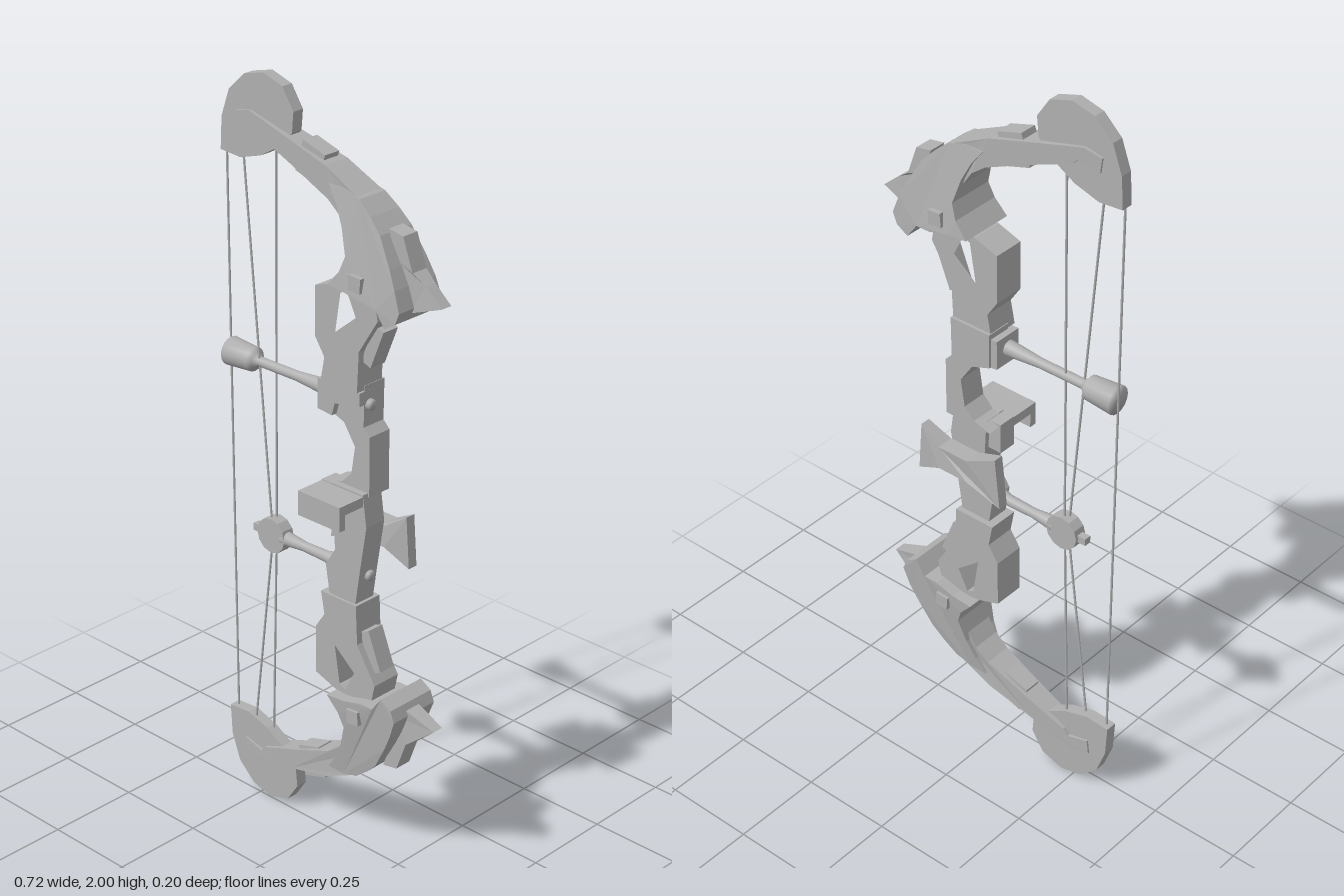
import * as THREE from 'three';

const ZC = -0.018; // mid-plane of the bow
const metal = new THREE.MeshStandardMaterial({ color: 0xb0b0b0 });
metal.name = 'grey metal';

function add(parent, geo, name) {
  const m = new THREE.Mesh(geo, metal);
  m.name = name;
  parent.add(m);
  return m;
}

// Flat outline in x/y, given thickness by half(x, y) either side of zc.
function slab(parent, name, pts, half, { zc = ZC, hole = null, flip = false } = {}) {
  const map = p => new THREE.Vector2(p[0], flip ? 2 - p[1] : p[1]);
  const shape = new THREE.Shape(pts.map(map));
  if (hole) shape.holes.push(new THREE.Path(hole.map(map)));
  const geo = new THREE.ExtrudeGeometry(shape, { depth: 1, bevelEnabled: false });
  const a = geo.attributes.position;
  for (let i = 0; i < a.count; i++) {
    const x = a.getX(i), y = flip ? 2 - a.getY(i) : a.getY(i);
    const h = typeof half === 'function' ? half(x, y) : half;
    a.setZ(i, zc + (a.getZ(i) > 0.5 ? h : -h));
  }
  geo.computeVertexNormals();
  return add(parent, geo, name);
}

function box(parent, name, size, pos, rotZ = 0) {
  const m = add(parent, new THREE.BoxGeometry(...size), name);
  m.position.set(...pos);
  m.rotation.z = rotZ;
  return m;
}

// Turned bar along x: profile is [radius, x] pairs, from low x to high x.
function bar(parent, name, profile, y, sides = 16) {
  const geo = new THREE.LatheGeometry(profile.map(p => new THREE.Vector2(p[0], p[1])), sides);
  geo.rotateZ(-Math.PI / 2);
  add(parent, geo, name).position.set(0, y, ZC);
}

function string(parent, x1, y1, x2, y2, z = ZC) {
  const d = new THREE.Vector3(x2 - x1, y2 - y1, 0);
  const m = add(parent, new THREE.CylinderGeometry(0.003, 0.003, d.length(), 6), 'string');
  m.position.set((x1 + x2) / 2, (y1 + y2) / 2, z);
  m.quaternion.setFromUnitVectors(new THREE.Vector3(0, 1, 0), d.normalize());
}

// One limb with its cam, shell, spike and riser pocket; flip mirrors it about y = 1.
function limb(flip) {
  const g = new THREE.Group();
  g.name = flip ? 'lowerLimb' : 'upperLimb';
  const o = { flip };
  const Y = y => (flip ? 2 - y : y);
  const s = flip ? -1 : 1;

  slab(g, 'cam', [[-0.362, 1.777], [-0.357, 1.862], [-0.33, 1.936], [-0.278, 1.984], [-0.214, 2],
    [-0.15, 1.98], [-0.114, 1.926], [-0.119, 1.873], [-0.161, 1.83], [-0.225, 1.793], [-0.294, 1.772]], 0.016, o);

  // tapered arm that clasps the cam and runs under the shell
  slab(g, 'limbArm', [[-0.305, 1.89], [-0.255, 1.9], [-0.12, 1.865], [0.01, 1.83], [0.125, 1.775],
    [0.19, 1.72], [0.235, 1.64], [0.24, 1.54], [0.13, 1.55], [0.1, 1.66], [0.06, 1.72], [0.02, 1.75],
    [-0.1, 1.8], [-0.225, 1.848], [-0.24, 1.865], [-0.3, 1.85]],
  x => 0.021 + 0.021 * THREE.MathUtils.clamp((x + 0.3) / 0.38, 0, 1), o);

  slab(g, 'limbShell', [[0.025, 1.79], [0.08, 1.79], [0.125, 1.777], [0.165, 1.745], [0.2, 1.71],
    [0.24, 1.64], [0.262, 1.595], [0.28, 1.545], [0.268, 1.515], [0.235, 1.495], [0.205, 1.535],
    [0.165, 1.535], [0.11, 1.55], [0.05, 1.555], [0.085, 1.595], [0.1, 1.635], [0.08, 1.7], [0.055, 1.75]],
  (x, y) => 0.042 + 0.032 * THREE.MathUtils.clamp((1.79 - y) / 0.22, 0, 1), o);

  slab(g, 'spike', [[0.2, 1.72], [0.245, 1.712], [0.275, 1.63], [0.31, 1.605], [0.36, 1.562],
    [0.27, 1.53], [0.235, 1.56], [0.225, 1.65]],
  x => (x > 0.3 ? 0.016 : 0.024), o);

  box(g, 'shellBolt', [0.038, 0.038, 0.16], [0.143, Y(1.582), ZC], -0.08 * s);
  box(g, 'limbClamp', [0.075, 0.085, 0.048], [-0.052, Y(1.818), ZC], -0.3 * s);

  // open pocket joining limb and riser
  slab(g, 'limbPocket', [[-0.018, 1.527], [0.05, 1.55], [0.17, 1.56], [0.185, 1.49], [0.125, 1.395],
    [0.12, 1.288], [0.0, 1.288], [0.012, 1.35], [-0.018, 1.395]], 0.043,
  { flip, hole: [[0.048, 1.425], [0.065, 1.53], [0.085, 1.54], [0.115, 1.48]] });
  box(g, 'pocketPad', [0.032, 0.11, 0.05], [0.152, Y(1.412), ZC], -0.38 * s);
  return g;
}

export function createModel() {
  const bow = new THREE.Group();
  bow.name = 'compoundBow';
  bow.add(limb(false), limb(true));

  // riser, with the arrow window cut away above the shelf
  const riser = new THREE.Group();
  riser.name = 'riser';
  bow.add(riser);
  slab(riser, 'windowRiser', [[0.0, 1.3], [0.122, 1.3], [0.12, 1.19], [0.14, 1.17], [0.14, 1.01],
    [0.0, 1.01], [0.05, 1.025], [0.08, 1.055], [0.092, 1.13], [0.055, 1.185], [0.0, 1.205]], 0.035, { zc: -0.034 });
  slab(riser, 'upperCollar', [[-0.018, 1.205], [-0.018, 1.285], [0.122, 1.285], [0.122, 1.25], [0.04, 1.235], [0.03, 1.2]],
    0.04, { zc: -0.022 });
  slab(riser, 'grip', [[0.03, 1.02], [0.135, 1.02], [0.147, 0.935], [0.125, 0.8], [0.11, 0.7],
    [0.025, 0.7], [0.01, 0.79], [0.042, 0.84], [0.035, 0.935]], 0.032, { zc: -0.014 });

  // arrow shelf with a hanging lip
  const shelf = new THREE.Group();
  shelf.name = 'arrowShelf';
  bow.add(shelf);
  box(shelf, 'shelfPlate', [0.14, 0.026, 0.115], [0.065, 1.002, 0.0425]);
  box(shelf, 'shelfLip', [0.14, 0.05, 0.02], [0.065, 0.974, 0.09]);
  box(shelf, 'shelfBlock', [0.14, 0.085, 0.05], [0.065, 0.975, -0.008]);

  // flared sight wings behind the grip
  slab(bow, 'sightWings', [[-0.035, 0.957], [0.05, 0.92], [0.14, 0.92], [0.205, 0.955],
    [0.215, 0.817], [0.14, 0.855], [0.05, 0.855], [-0.05, 0.815]],
  x => (x < -0.02 || x > 0.19 ? 0.014 : 0.024), { zc: -0.077 });

  // stabilizer with end weight
  bar(bow, 'stabilizer', [[0, -0.352], [0.038, -0.352], [0.032, -0.27], [0.02, -0.262], [0.013, -0.25],
    [0.013, -0.12], [0.02, -0.03], [0.024, 0.03], [0, 0.03]], 1.247);
  bar(bow, 'stabilizerBolt', [[0, 0.1], [0.018, 0.1], [0.014, 0.132], [0, 0.132]], 1.247);

  // cable guard with slide disc
  bar(bow, 'cableGuard', [[0, -0.17], [0.02, -0.17], [0.013, -0.1], [0.015, -0.02], [0.026, 0.03], [0, 0.03]], 0.785);
  bar(bow, 'cableGuardBolt', [[0, 0.1], [0.018, 0.1], [0.014, 0.132], [0, 0.132]], 0.785);
  const disc = add(bow, new THREE.CylinderGeometry(0.048, 0.048, 0.036, 12).toNonIndexed(), 'cableSlide');
  disc.geometry.computeVertexNormals();
  disc.rotation.x = Math.PI / 2;
  disc.position.set(-0.202, 0.785, ZC);
  box(bow, 'slideTab', [0.04, 0.02, 0.02], [-0.252, 0.785, ZC]);

  // bowstring and crossing cables
  string(bow, -0.357, 1.8, -0.347, 0.22);
  string(bow, -0.295, 1.79, -0.21, 0.82, ZC + 0.005);
  string(bow, -0.21, 0.75, -0.275, 0.22, ZC + 0.005);
  string(bow, -0.193, 1.83, -0.203, 0.8, ZC - 0.005);
  string(bow, -0.203, 0.8, -0.22, 0.2, ZC - 0.005);
  return bow;
}
